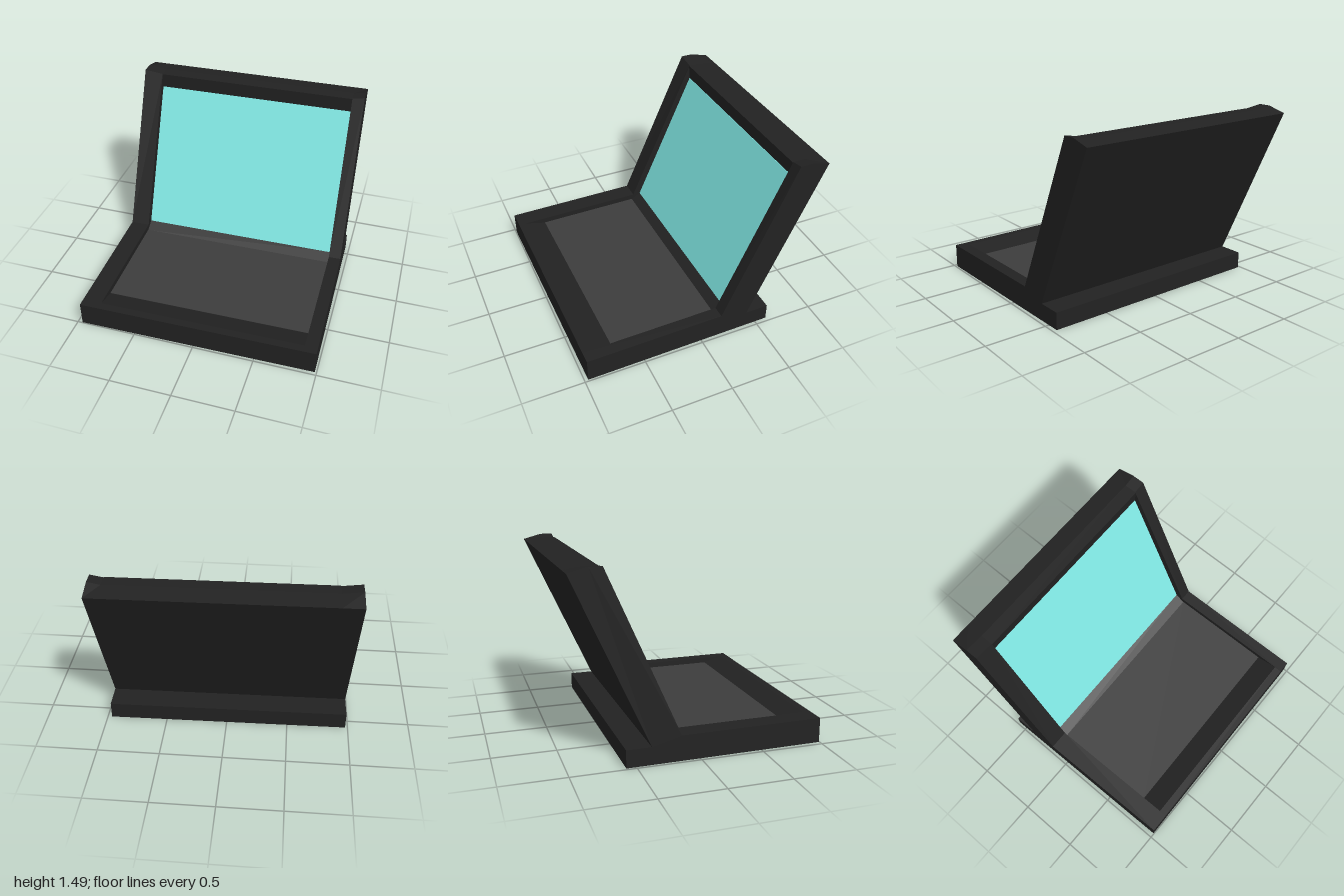
import * as THREE from 'three';

const HALF = 0.973;                      // half width of the case
const IN_L = -0.813, IN_R = 0.872;       // inner edges of the two side rails

const mat = (color) => new THREE.MeshStandardMaterial({ color, flatShading: true });
const dark = mat(0x222222), panel = mat(0x3d3d3d), glass = mat(0x7fe6e2);

// Side profile given as [z, y] points, extruded from x0 to x1
function slab(name, points, x0, x1, material) {
  const shape = new THREE.Shape(points.map(([z, y]) => new THREE.Vector2(z, y)));
  const geo = new THREE.ExtrudeGeometry(shape, { depth: x1 - x0, bevelEnabled: false });
  geo.rotateY(-Math.PI / 2);
  geo.translate(x1, 0, 0);
  const mesh = new THREE.Mesh(geo, material);
  mesh.name = name;
  return mesh;
}

// Side rail: base edge and lid edge in one piece, its top sloping down inwards
function rail(name, x0, x1, innerX) {
  const mesh = slab(name, [
    [0.983, 0], [0.983, 0.2], [-0.162, 0.2], [-0.735, 1.485], [-0.835, 1.485],
    [-0.985, 1.445], [-0.395, 0.14], [-0.59, 0.14], [-0.59, 0],
  ], x0, x1, dark);
  const p = mesh.geometry.attributes.position;
  for (let i = 0; i < p.count; i++) {
    if (p.getY(i) > 1.48 && Math.abs(p.getX(i) - innerX) < 1e-3) p.setY(i, 1.465);
  }
  mesh.geometry.computeVertexNormals();
  return mesh;
}

export function createModel() {
  const model = new THREE.Group();
  model.name = 'openLaptop';

  // Middle of the case: recessed deck, hinge ramp, recessed lid
  model.add(slab('caseMiddle', [
    [0.983, 0], [0.983, 0.2], [0.92, 0.2], [0.74, 0.15], [-0.145, 0.15],
    [-0.233, 0.2], [-0.74, 1.34], [-0.728, 1.465], [-0.835, 1.465],
    [-0.985, 1.445], [-0.395, 0.14], [-0.59, 0.14], [-0.59, 0],
  ], IN_L, IN_R, dark));

  // Side rails
  model.add(rail('rightRail', -HALF, IN_L, IN_L));
  model.add(rail('leftRail', IN_R, HALF, IN_R));

  // Coloured surfaces of the deck and the lid
  model.add(slab('keyboardPanel',
    [[0.74, 0.148], [0.74, 0.153], [-0.145, 0.153], [-0.145, 0.148]], IN_L, IN_R, panel));
  model.add(slab('screen',
    [[-0.235, 0.2], [-0.229, 0.2], [-0.736, 1.34], [-0.742, 1.34]], IN_L, IN_R, glass));

  // The whole case stands slightly turned
  model.rotation.y = 0.0128;
  return model;
}
